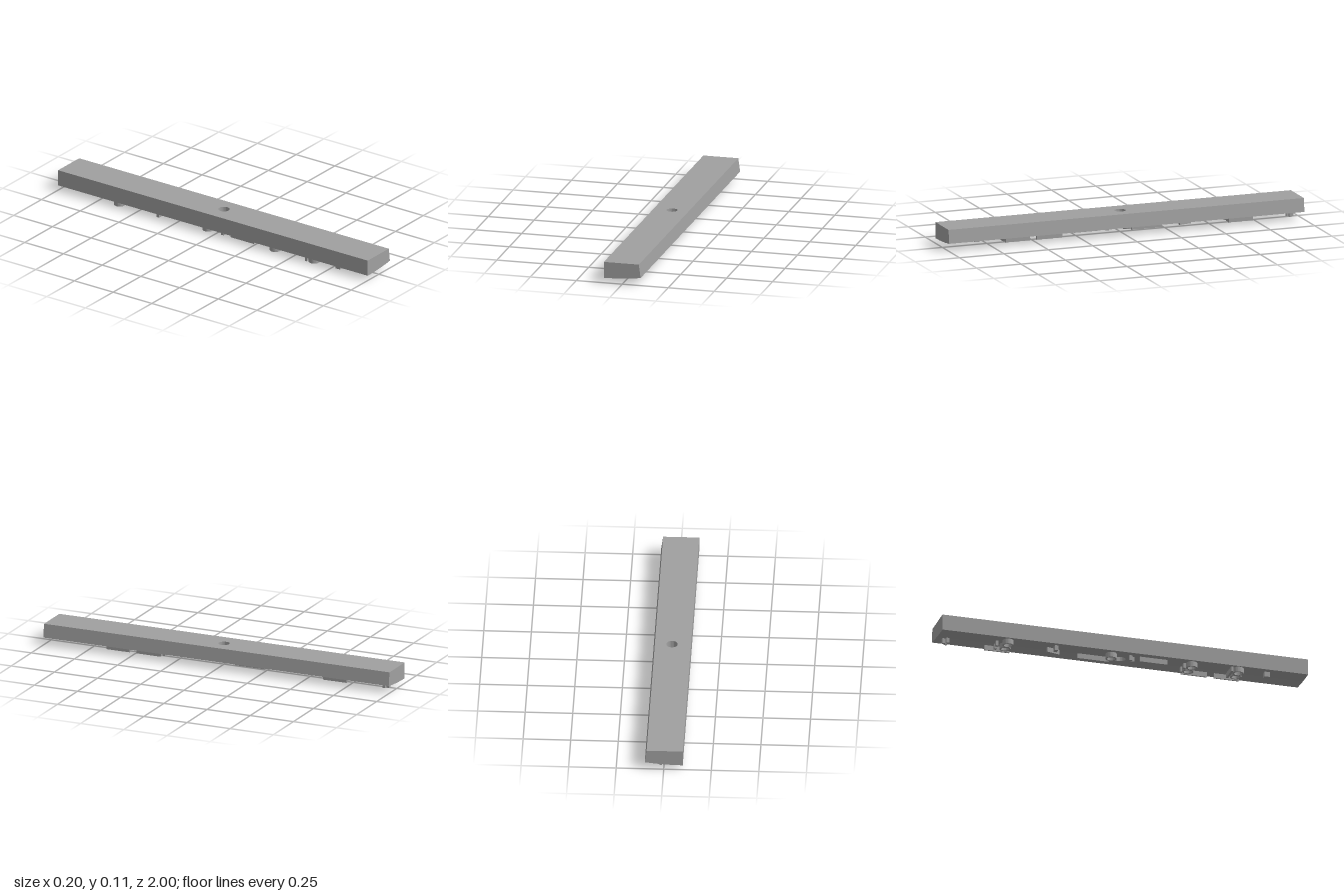
import * as THREE from 'three';
import { toCreasedNormals } from 'three/addons/utils/BufferGeometryUtils.js';

const TOP = 0.115;
const HALF = 0.1;
// Height of the gently curved underside at x
const under = (x) => 0.028 + 0.35 * (x + HALF) ** 2;

// Extrudes a plan (x, z) vertically between two height rules
function planSolid(shape, topRule, bottomRule, slant = 0) {
  const geo = new THREE.ExtrudeGeometry(shape, { depth: 1, bevelEnabled: false, curveSegments: 16 });
  geo.rotateX(Math.PI / 2);
  const p = geo.attributes.position;
  for (let i = 0; i < p.count; i++) {
    const x = p.getX(i);
    const top = p.getY(i) > -0.5;
    p.setY(i, top ? topRule(x) : bottomRule(x));
    if (top && x > HALF - 0.001) p.setX(i, x - slant);
  }
  return toCreasedNormals(geo, 0.6);
}

export function createModel() {
  const model = new THREE.Group();
  const grey = new THREE.MeshStandardMaterial({ color: 0xa0a0a0 });
  grey.name = 'grey';
  const add = (name, geo) => {
    const mesh = new THREE.Mesh(geo, grey);
    mesh.name = name;
    model.add(mesh);
    return mesh;
  };

  // Points across the bar, used for the curved underside
  const steps = 10;
  const xs = Array.from({ length: steps + 1 }, (_, i) => -HALF + (2 * HALF * i) / steps);

  // Two long ends of the bar
  const mid = 0.05;
  const profile = new THREE.Shape([
    ...xs.map((x) => new THREE.Vector2(x, under(x))),
    new THREE.Vector2(0.09, TOP),
    new THREE.Vector2(-HALF, TOP),
  ]);
  for (const start of [-1, mid]) {
    const geo = new THREE.ExtrudeGeometry(profile, { depth: 1 - mid, bevelEnabled: false });
    geo.translate(0, 0, start);
    add(start < 0 ? 'barBack' : 'barFront', toCreasedNormals(geo, 0.6));
  }

  // Middle of the bar with the round through hole
  const plan = new THREE.Shape([
    ...xs.map((x) => new THREE.Vector2(x, -mid)),
    ...[...xs].reverse().map((x) => new THREE.Vector2(x, mid)),
  ]);
  plan.holes.push(new THREE.Path().absarc(0, 0, 0.03, 0, Math.PI * 2, true));
  add('barMiddle', planSolid(plan, () => TOP, under, 0.01));

  // Raised relief below follows the curved underside
  const relief = (name, shape) =>
    add(name, planSolid(shape, (x) => under(x) + 0.006, (x) => under(x) - 0.0275));

  // Straight ribs: from x, z to x, z and width
  const ribs = [
    [0.04, 0.525, 0.04, 0.66, 0.01],
    [-0.085, 0.59, 0.015, 0.59, 0.012],
    [0.04, 0.345, 0.04, 0.485, 0.01],
    [-0.06, 0.09, -0.06, 0.24, 0.012],
    [-0.003, -0.235, -0.003, -0.065, 0.012],
    [-0.038, -0.41, -0.018, -0.34, 0.012],
    [0.04, -0.73, 0.04, -0.595, 0.01],
  ];
  for (const [x1, z1, x2, z2, w] of ribs) {
    const dir = new THREE.Vector2(x2 - x1, z2 - z1).normalize();
    const nx = (-dir.y * w) / 2;
    const nz = (dir.x * w) / 2;
    relief('rib', new THREE.Shape([
      new THREE.Vector2(x1 + nx, z1 + nz),
      new THREE.Vector2(x1 - nx, z1 - nz),
      new THREE.Vector2(x2 - nx, z2 - nz),
      new THREE.Vector2(x2 + nx, z2 + nz),
    ]));
  }

  // Round ribs: centre x, z
  const rings = [
    [-0.01, 0.63], [-0.062, 0.628],
    [-0.004, 0.37], [-0.06, 0.375],
    [-0.052, -0.064],
    [-0.006, -0.63], [-0.06, -0.63],
  ];
  for (const [x, z] of rings) {
    const ring = new THREE.Shape().absarc(x, z, 0.03, 0, Math.PI * 2, false);
    ring.holes.push(new THREE.Path().absarc(x, z, 0.021, 0, Math.PI * 2, true));
    relief('ringRib', ring);
  }

  // Small studs: centre x, z, width, length
  const studs = [
    [-0.058, 0.785, 0.025, 0.03],
    [0.01, 0.338, 0.02, 0.012], [-0.044, 0.338, 0.02, 0.012],
    [-0.045, 0.055, 0.015, 0.016], [-0.062, 0.04, 0.015, 0.016],
    [-0.065, -0.37, 0.03, 0.018],
    [0.008, -0.68, 0.02, 0.014], [-0.036, -0.685, 0.02, 0.014],
    [0.035, -0.945, 0.014, 0.016], [0.018, -0.96, 0.014, 0.016], [0.004, -0.942, 0.014, 0.016],
  ];
  for (const [x, z, w, l] of studs) {
    relief('stud', new THREE.Shape([
      new THREE.Vector2(x - w / 2, z - l / 2),
      new THREE.Vector2(x + w / 2, z - l / 2),
      new THREE.Vector2(x + w / 2, z + l / 2),
      new THREE.Vector2(x - w / 2, z + l / 2),
    ]));
  }

  return model;
}
